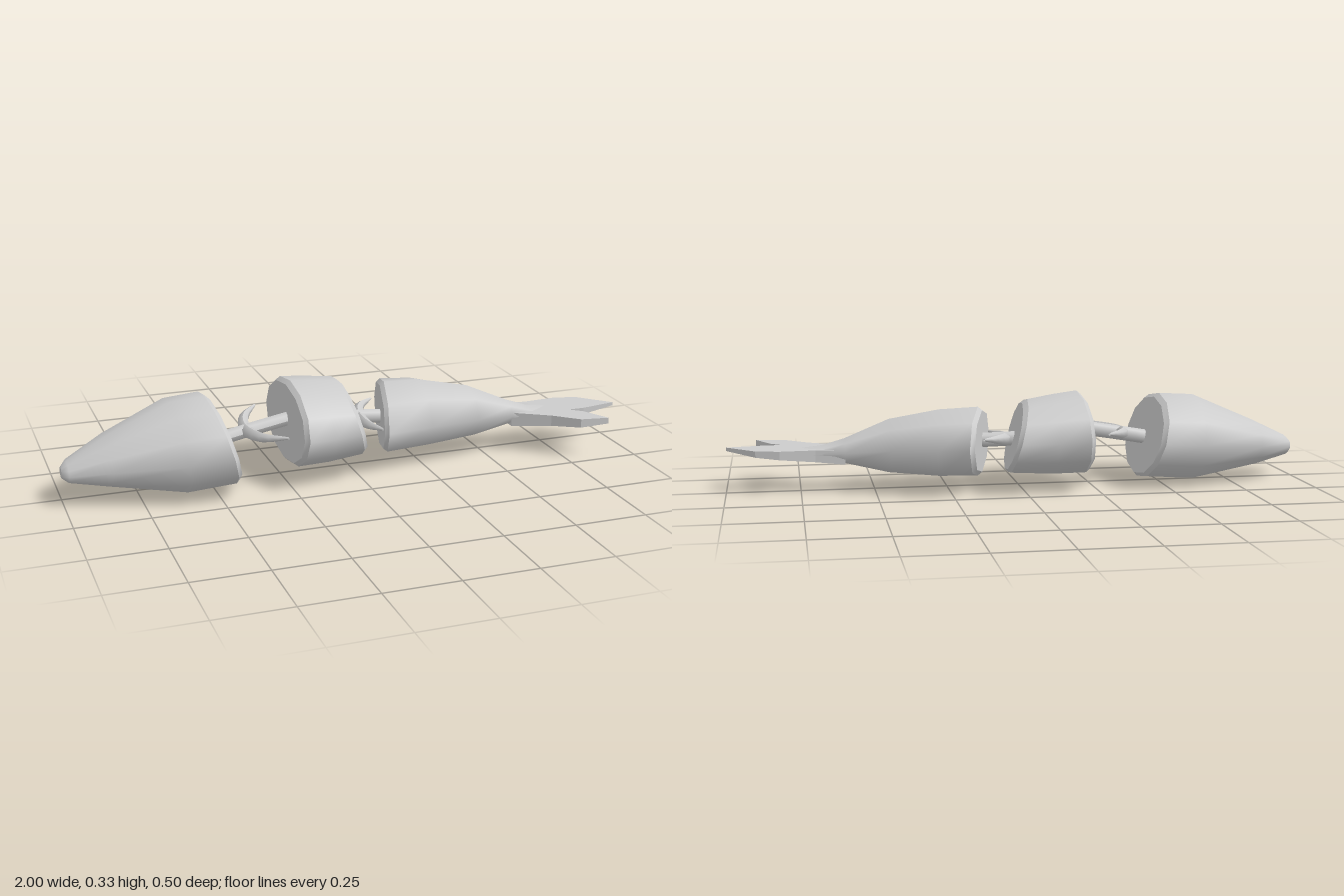
import * as THREE from 'three';

const grey = new THREE.MeshStandardMaterial({ color: 0xcccccc, side: THREE.DoubleSide });

function addMesh(group, geometry, name) {
  const mesh = new THREE.Mesh(geometry, grey);
  mesh.name = name;
  group.add(mesh);
}

// One oval ring. s = [x, yLow, yHigh, zLow, zHigh, x shear per y, x shear per z]
function ring(s, n) {
  const [x, y0, y1, z0, z1, sy = 0, sz = 0] = s;
  const points = [];
  for (let j = 0; j < n; j++) {
    const a = (j / n) * Math.PI * 2;
    const dy = Math.cos(a) * (y1 - y0) / 2;
    const dz = Math.sin(a) * (z1 - z0) / 2;
    points.push([x + sy * dy + sz * dz, (y0 + y1) / 2 + dy, (z0 + z1) / 2 + dz]);
  }
  return points;
}

function build(positions, indices) {
  const g = new THREE.BufferGeometry();
  g.setAttribute('position', new THREE.Float32BufferAttribute(positions, 3));
  g.setIndex(indices);
  g.computeVertexNormals();
  return g;
}

// Smooth skin through the rings, running towards +x
function skin(rings) {
  const n = rings[0].length;
  const indices = [];
  for (let i = 0; i < rings.length - 1; i++) {
    for (let j = 0; j < n; j++) {
      const a = i * n + j, b = i * n + (j + 1) % n;
      indices.push(a, b, a + n, b, b + n, a + n);
    }
  }
  return build(rings.flat(2), indices);
}

// Flat face closing a ring
function cap(points, side) {
  const n = points.length;
  const centre = [0, 1, 2].map(k => points.reduce((sum, p) => sum + p[k], 0) / n);
  const indices = [];
  for (let j = 0; j < n; j++) {
    const k = (j + 1) % n;
    if (side > 0) indices.push(n, j, k);
    else indices.push(n, k, j);
  }
  return build([...points.flat(), ...centre], indices);
}

// A closed piece of the body; cut ends get a narrow bevel and a flat face
function bodyPiece(name, sections, n, cutStart, cutEnd) {
  const group = new THREE.Group();
  group.name = name;
  const rings = sections.map(s => ring(s, n));
  addMesh(group, skin(rings), name + 'Skin');
  const close = (section, points, side, cut) => {
    let face = points;
    if (cut) {
      const [x, y0, y1, z0, z1, sy, sz] = section;
      const inset = 0.013;
      face = ring([x + side * 0.015, y0 + inset, y1 - inset, z0 + inset, z1 - inset, sy, sz], n);
      addMesh(group, skin(side > 0 ? [points, face] : [face, points]), name + 'CutRim');
    }
    addMesh(group, cap(face, side), name + 'CutFace');
  };
  close(sections[0], rings[0], -1, cutStart);
  close(sections.at(-1), rings.at(-1), 1, cutEnd);
  return group;
}

// Tube whose thickness follows radiusAt(t)
function taperedTube(points, radiusAt, segments, sides) {
  const curve = new THREE.CatmullRomCurve3(points.map(p => new THREE.Vector3(...p)));
  const g = new THREE.TubeGeometry(curve, segments, 1, sides);
  const pos = g.attributes.position;
  const v = new THREE.Vector3();
  for (let i = 0; i <= segments; i++) {
    const c = curve.getPointAt(i / segments);
    for (let j = 0; j <= sides; j++) {
      const k = i * (sides + 1) + j;
      v.fromBufferAttribute(pos, k).sub(c).multiplyScalar(radiusAt(i / segments)).add(c);
      pos.setXYZ(k, v.x, v.y, v.z);
    }
  }
  g.computeVertexNormals();
  return g;
}

// Backbone length with a pair of swept ribs
function bone(name, spine, ribs) {
  const group = new THREE.Group();
  group.name = name;
  addMesh(group, taperedTube(spine, () => 0.025, 4, 8), 'backbone');
  addMesh(group, taperedTube(ribs, t => 0.004 + 0.018 * Math.sin(Math.PI * t), 12, 6), 'ribs');
  return group;
}

function tailFin() {
  const outline = [
    [0.6, -0.045], [0.7, -0.035], [0.82, -0.042], [0.9, -0.022], [1, 0.078], [0.87, 0.1],
    [0.81, 0.1], [0.85, 0.135], [0.9, 0.228], [0.8, 0.212], [0.72, 0.14], [0.6, 0.065],
  ];
  const shape = new THREE.Shape(outline.map(p => new THREE.Vector2(...p)));
  const g = new THREE.ExtrudeGeometry(shape, { depth: 1, bevelEnabled: false });
  g.rotateX(Math.PI / 2).translate(0, 0.5, 0);
  // thin the fin towards its tips and lift it slightly
  const pos = g.attributes.position;
  for (let i = 0; i < pos.count; i++) {
    const t = (pos.getX(i) - 0.6) / 0.4;
    pos.setY(i, 0.122 + 0.019 * t + pos.getY(i) * (0.05 - 0.038 * t));
  }
  g.computeVertexNormals();
  return g;
}

export function createModel() {
  const model = new THREE.Group();
  model.name = 'slicedFish';

  // Head with rounded snout
  model.add(bodyPiece('head', [
    [-1, 0.092, 0.128, 0.005, 0.05],
    [-0.98, 0.078, 0.148, -0.035, 0.09],
    [-0.85, 0.05, 0.21, -0.125, 0.147],
    [-0.615, 0.004, 0.305, -0.215, 0.237, -0.1],
    [-0.47, 0.017, 0.312, -0.232, 0.25, -0.26],
  ], 12, false, true));

  // Middle slice
  model.add(bodyPiece('middle', [
    [-0.21, 0.042, 0.33, -0.252, 0.23, 0.04],
    [-0.11, 0.042, 0.32, -0.253, 0.217, -0.08, -0.03],
    [0.005, 0.052, 0.305, -0.25, 0.197, -0.27, -0.1],
  ], 12, true, true));

  // Tail piece, narrowing to the fin
  model.add(bodyPiece('tail', [
    [0.145, 0.043, 0.283, -0.24, 0.178, 0, -0.27],
    [0.28, 0.046, 0.277, -0.218, 0.155, 0, -0.12],
    [0.45, 0.06, 0.245, -0.133, 0.115],
    [0.6, 0.094, 0.18, -0.06, 0.075],
    [0.68, 0.106, 0.154, -0.038, 0.09],
    [0.79, 0.12, 0.142, -0.03, 0.1],
  ], 8, true, false));
  addMesh(model, tailFin(), 'tailFin');

  // Exposed bones in the gaps
  model.add(bone('frontBone',
    [[-0.5, 0.15, 0.012], [-0.33, 0.18, 0.005], [-0.18, 0.205, 0]],
    [[-0.285, 0.198, -0.18], [-0.345, 0.188, -0.1], [-0.37, 0.177, 0.005],
      [-0.34, 0.18, 0.11], [-0.27, 0.195, 0.185]]));
  model.add(bone('rearBone',
    [[-0.02, 0.172, -0.035], [0.07, 0.167, -0.022], [0.16, 0.163, -0.01]],
    [[0.14, 0.185, -0.15], [0.08, 0.178, -0.1], [0.05, 0.168, -0.025],
      [0.05, 0.166, 0.06], [0.08, 0.17, 0.14]]));

  return model;
}
